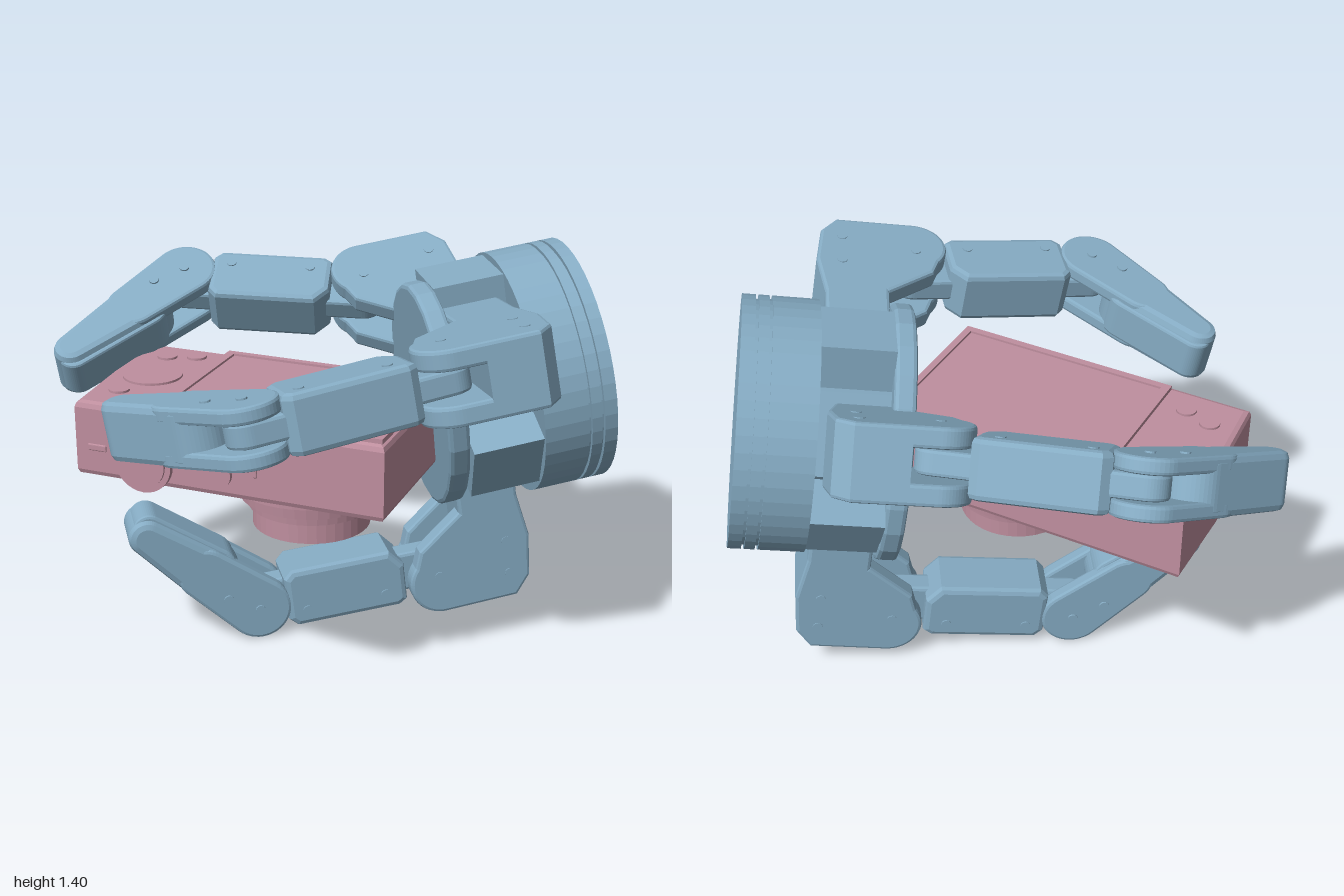
import * as THREE from 'three';
import { RoundedBoxGeometry } from 'three/addons/geometries/RoundedBoxGeometry.js';

const blue = new THREE.MeshStandardMaterial({ color: 0x86acc4, flatShading: true });
const pink = new THREE.MeshStandardMaterial({ color: 0xbf8f9f, flatShading: true });
const rad = THREE.MathUtils.degToRad;

function add(parent, name, geo, mat, x = 0, y = 0, z = 0) {
  const m = new THREE.Mesh(geo, mat);
  m.name = name;
  m.position.set(x, y, z);
  parent.add(m);
  return m;
}

// Slab of the given outline, centred on z, with a bevelled edge
function slab(shape, width, bevel = 0.012) {
  const g = new THREE.ExtrudeGeometry(shape, {
    depth: width - 2 * bevel, bevelEnabled: true, bevelThickness: bevel,
    bevelSize: bevel, bevelOffset: -bevel, bevelSegments: 2, curveSegments: 12,
  });
  return g.translate(0, 0, -width / 2 + bevel);
}

const poly = pts => new THREE.Shape(pts.map(p => new THREE.Vector2(...p)));

// Outline wrapped around two circles on the x axis
function hull(x0, r0, x1, r1) {
  const b = Math.acos((r0 - r1) / (x1 - x0));
  const s = new THREE.Shape();
  s.absarc(x1, 0, r1, -b, b, false);
  s.absarc(x0, 0, r0, b, 2 * Math.PI - b, false);
  s.closePath();
  return s;
}

// Round part along local x, from u0 to u1
function disc(parent, name, r, u0, u1, sides = 48) {
  const g = new THREE.CylinderGeometry(r, r, u1 - u0, sides).rotateZ(Math.PI / 2);
  return add(parent, name, g, blue, (u0 + u1) / 2);
}

// Pin heads on both sides of a link
function pins(parent, spots, halfWidth) {
  for (const [x, y] of spots) for (const s of [-1, 1]) {
    const g = new THREE.CylinderGeometry(0.018, 0.018, 0.012, 12).rotateX(Math.PI / 2);
    add(parent, 'pin', g, blue, x, y, s * halfWidth);
  }
}

// Finger in the plane of the palm axis (x) and its own outward direction (y);
// turn swings it around the palm, root shifts its origin on the palm
function makeFinger(name, turn, root, midAngle, tipAngle, tipLength) {
  const finger = new THREE.Group();
  finger.name = name;
  finger.position.set(...root);
  finger.rotation.x = rad(turn);

  // Knuckle: solid bracket plus two cheeks forming a fork
  add(finger, 'knuckle', slab(poly([
    [0.28, 0.2], [0.28, 0.45], [0.25, 0.62], [0.265, 0.78], [0.32, 0.85],
    [0.5, 0.85], [0.5, 0.2],
  ]), 0.25), blue);
  const cheek = new THREE.Shape();
  cheek.moveTo(0.4, 0.45);
  cheek.lineTo(0.5, 0.47);
  cheek.lineTo(0.66, 0.59);
  cheek.absarc(0.59, 0.73, 0.12, -0.7, Math.PI / 2, false);
  cheek.lineTo(0.4, 0.85);
  cheek.closePath();
  for (const s of [-1, 1]) add(finger, 'knuckleCheek', slab(cheek, 0.07), blue, 0, 0, s * 0.09);
  pins(finger, [[0.6, 0.7], [0.34, 0.75], [0.34, 0.62]], 0.122);

  // Middle link: body with a tongue reaching into both forks
  const middle = new THREE.Group();
  middle.name = 'middleLink';
  middle.position.set(0.6, 0.7, 0);
  middle.rotation.z = rad(midAngle);
  finger.add(middle);
  add(middle, 'tongue', slab(hull(0, 0.075, 0.66, 0.075), 0.085), blue);
  add(middle, 'middleBody', slab(poly([
    [0.12, -0.06], [0.17, -0.12], [0.53, -0.12], [0.56, -0.09],
    [0.56, 0.07], [0.53, 0.1], [0.15, 0.1], [0.12, 0.08],
  ]), 0.2, 0.02), blue);
  pins(middle, [[0.2, 0.04], [0.49, 0.04]], 0.098);

  // Fingertip: fork at the joint, tapering to a rounded end
  const tip = new THREE.Group();
  tip.name = 'fingertip';
  tip.position.set(0.66, 0, 0);
  tip.rotation.z = rad(tipAngle - midAngle);
  middle.add(tip);
  for (const s of [-1, 1]) {
    add(tip, 'tipCheek', slab(hull(0, 0.115, 0.25, 0.095), 0.055), blue, 0, 0, s * 0.0725);
  }
  add(tip, 'tipBody', slab(hull(0.2, 0.1, tipLength, 0.065), 0.2, 0.025), blue);
  add(tip, 'gripPad', slab(hull(0.22, 0.085, tipLength + 0.01, 0.055), 0.15, 0.01), blue, 0, -0.025);
  pins(tip, [[0, 0], [0.12, 0.03]], 0.1);
  return finger;
}

function makeGripper() {
  const hand = new THREE.Group();
  hand.name = 'gripper';
  // Local x runs from the mounting face into the grip, local y points up
  const axis = new THREE.Vector3(-0.82, -0.15, 0.55).normalize();
  const up = new THREE.Vector3(0, 1, 0).addScaledVector(axis, -axis.y).normalize();
  const side = new THREE.Vector3().crossVectors(axis, up);
  hand.quaternion.setFromRotationMatrix(new THREE.Matrix4().makeBasis(axis, up, side));
  hand.position.set(0.75, 0.985, -0.508);

  // Layered round base
  disc(hand, 'mountingFlange', 0.427, 0, 0.045);
  disc(hand, 'flangeGroove', 0.412, 0.04, 0.06);
  disc(hand, 'flangeRing', 0.427, 0.055, 0.09);
  disc(hand, 'baseGroove', 0.414, 0.085, 0.1);
  disc(hand, 'baseHousing', 0.427, 0.1, 0.255);

  // Palm: core, blocks between the fingers, slanted oval front plate
  disc(hand, 'palmCore', 0.28, 0.25, 0.51, 6);
  for (let i = 0; i < 3; i++) {
    const arm = new THREE.Group();
    arm.name = 'palmBlock';
    arm.rotation.x = i * 2 * Math.PI / 3;
    hand.add(arm);
    add(arm, 'block', new THREE.BoxGeometry(0.25, 0.4, 0.24), blue, 0.375, 0.2);
  }
  const plate = new THREE.Shape().absellipse(0, 0, 0.44, 0.36, 0, Math.PI * 2, false, rad(60));
  add(hand, 'palmPlate', slab(plate, 0.075, 0.015).rotateY(Math.PI / 2), blue, 0.535, -0.015, -0.01);

  hand.add(makeFinger('frontFinger', -82, [0, 0.165, 0.12], 8, -46, 0.5));
  hand.add(makeFinger('backFinger', 62, [0.03, -0.106, -0.17], 21, -29, 0.53));
  hand.add(makeFinger('lowerFinger', 180, [0, 0, 0.055], -2, -47, 0.5));
  return hand;
}

function makeCamera() {
  const cam = new THREE.Group();
  cam.name = 'camera';
  // Body lying on its front, with a slightly angled end
  const outline = poly([[-0.76, 0.21], [-0.76, -0.1], [-0.735, -0.43], [0.38, -0.43], [0.38, 0.21]]);
  add(cam, 'body', slab(outline, 0.27, 0.022).rotateX(-Math.PI / 2), pink, 0, 0.805);

  // Screen with a raised frame
  const frame = poly([[-0.445, -0.41], [0.365, -0.41], [0.365, 0.195], [-0.445, 0.195]]);
  frame.holes.push(poly([[-0.415, -0.385], [-0.415, 0.17], [0.34, 0.17], [0.34, -0.385]]));
  const frameGeo = new THREE.ExtrudeGeometry(frame, { depth: 0.02, bevelEnabled: false });
  add(cam, 'screenFrame', frameGeo.rotateX(-Math.PI / 2), pink, 0, 0.935);
  add(cam, 'screen', new THREE.BoxGeometry(0.755, 0.01, 0.555), pink, -0.0375, 0.942, 0.1075);

  // Dial and buttons beside the screen
  const dials = [[-0.6, 0.11, 0.105], [-0.64, -0.085, 0.036], [-0.54, -0.12, 0.036],
    [-0.64, 0.285, 0.036], [-0.54, 0.32, 0.036]];
  for (const [x, z, r] of dials) {
    add(cam, 'button', new THREE.CylinderGeometry(r, r, 0.02, 32), pink, x, 0.938, z);
  }

  // Controls on the edge facing forward
  for (const [x, r, d] of [[-0.475, 0.105, 0.02], [-0.475, 0.085, 0.03], [-0.2, 0.047, 0.015]]) {
    const g = new THREE.CylinderGeometry(r, r, d, 32).rotateX(Math.PI / 2);
    add(cam, 'edgeDial', g, pink, x, 0.757, 0.43 + d / 2);
  }
  add(cam, 'slider', new RoundedBoxGeometry(0.07, 0.025, 0.012, 2, 0.005), pink, -0.655, 0.78, 0.428);
  add(cam, 'indicator', new RoundedBoxGeometry(0.015, 0.04, 0.012, 2, 0.005), pink, -0.07, 0.78, 0.428);

  // Stepped lens barrel pointing down
  const steps = [[0, 0.69], [0.285, 0.69], [0.285, 0.65], [0.255, 0.65], [0.25, 0.6], [0.225, 0.6],
    [0.222, 0.565], [0.205, 0.565], [0.205, 0.49], [0, 0.49]];
  const lens = new THREE.LatheGeometry(steps.reverse().map(p => new THREE.Vector2(...p)), 40);
  add(cam, 'lens', lens, pink, 0, 0, 0.11);
  return cam;
}

export function createModel() {
  const model = new THREE.Group();
  model.name = 'gripperHoldingCamera';
  model.add(makeGripper(), makeCamera());
  return model;
}
